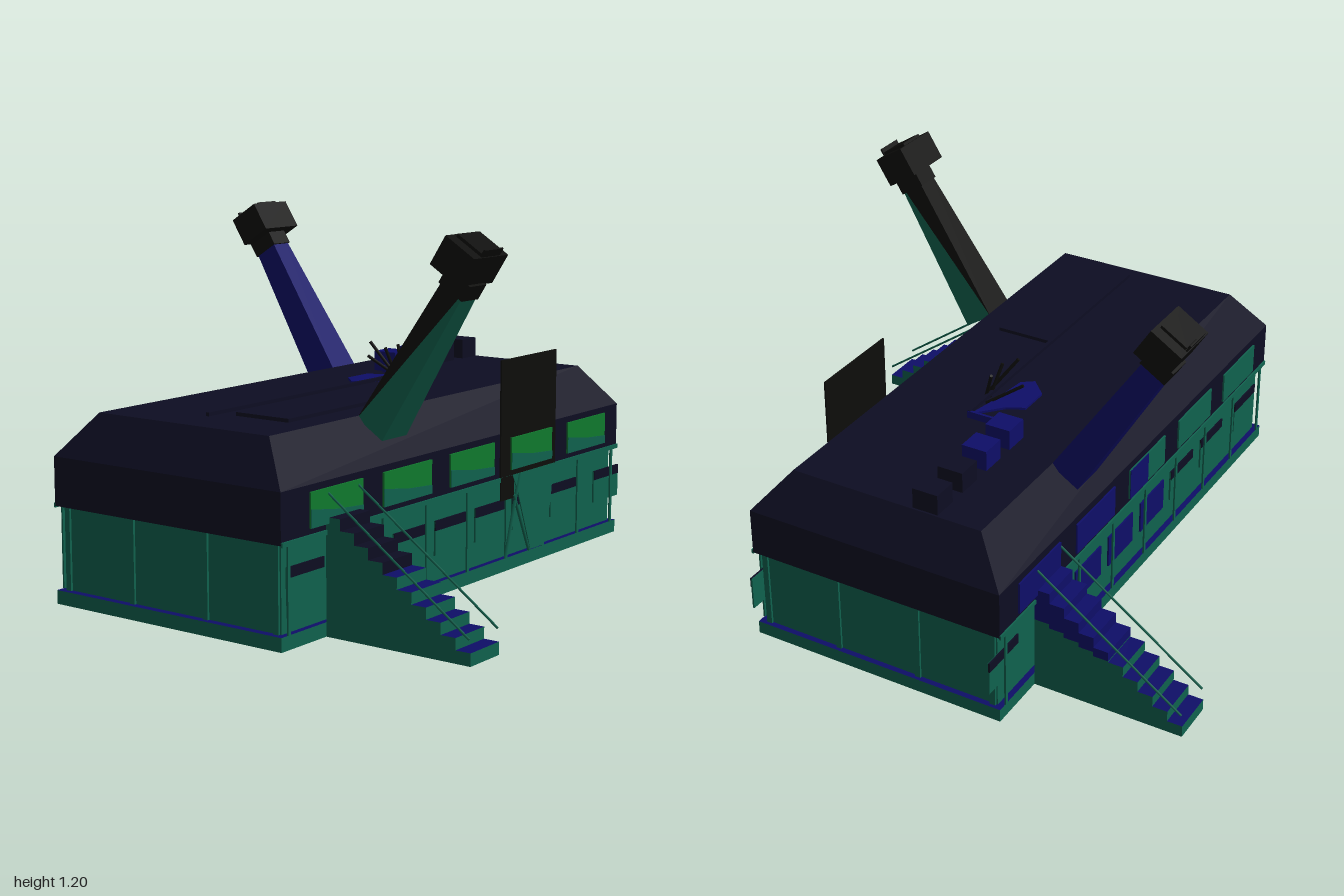
import * as THREE from 'three';

const mat = (name, color) => Object.assign(new THREE.MeshStandardMaterial({ color }), { name });

export function createModel() {
  const teal = mat('teal', 0x10624e), navy = mat('navy', 0x0d0d22), blue = mat('blue', 0x0e0e68);
  const green = mat('green', 0x107a2e), black = mat('black', 0x0d0d0b);
  const model = new THREE.Group();

  const add = (name, geo, material, x, y, z, parent = model) => {
    const m = new THREE.Mesh(geo, material);
    m.name = name;
    m.position.set(x, y, z);
    parent.add(m);
    return m;
  };
  // Box given by its low and high corners
  const box = (name, material, x0, x1, y0, y1, z0, z1, parent) =>
    add(name, new THREE.BoxGeometry(x1 - x0, y1 - y0, z1 - z0), material,
      (x0 + x1) / 2, (y0 + y1) / 2, (z0 + z1) / 2, parent);
  // Tapered box standing on its base
  const frustum = (w0, d0, w1, d1, h) => {
    const g = new THREE.BoxGeometry(1, h, 1).translate(0, h / 2, 0);
    const p = g.attributes.position;
    for (let i = 0; i < p.count; i++) {
      const top = p.getY(i) > h / 2;
      p.setX(i, p.getX(i) * (top ? w1 : w0));
      p.setZ(i, p.getZ(i) * (top ? d1 : d0));
    }
    g.computeVertexNormals();
    return g;
  };
  // Thin rod between two points
  const rod = (name, material, a, b, r, parent) => {
    const p = new THREE.Vector3(...a), d = new THREE.Vector3(...b).sub(p);
    const m = add(name, new THREE.CylinderGeometry(r, r, d.length(), 5), material, 0, 0, 0, parent);
    m.position.copy(p).addScaledVector(d, 0.5);
    m.quaternion.setFromUnitVectors(new THREE.Vector3(0, 1, 0), d.normalize());
    return m;
  };
  // Thin flat outline extruded toward +z
  const plate = (name, material, pts, z, depth = 0.004) => {
    const s = new THREE.Shape(pts.map(([x, y]) => new THREE.Vector2(x, y)));
    return add(name, new THREE.ExtrudeGeometry(s, { depth, bevelEnabled: false }), material, 0, 0, z);
  };

  // Base slab and lower storey
  box('base', [teal, teal, blue, blue, teal, teal], -1, 0.96, 0, 0.045, -0.46, 0.46);
  box('lowerWalls', teal, -0.975, 0.94, 0.045, 0.325, -0.44, 0.44);
  for (const z of [-0.425, -0.15, 0.15, 0.425])
    for (const x of [-0.977, 0.942])
      box('endPillar', teal, x - 0.006, x + 0.006, 0.045, 0.32, z - 0.01, z + 0.01);

  // Upper storey and hipped roof
  box('upperStorey', navy, -1, 0.96, 0.32, 0.48, -0.46, 0.46);
  add('roof', frustum(1.96, 0.92, 1.78, 0.69, 0.14), navy, -0.02, 0.48, 0);

  // Long-side trim, posts and windows
  for (const s of [1, -1]) {
    box('eaveTrim', teal, -1, 0.96, 0.315, 0.33, s * 0.462 - 0.004, s * 0.462 + 0.004);
    for (let i = 0; i < 9; i++) {
      const x = -0.965 + i * 0.236;
      box('post', teal, x - 0.006, x + 0.006, 0.045, 0.32, s * 0.46 - 0.003, s * 0.46 + 0.003);
    }
    for (const x of [-0.87, -0.58, -0.335, -0.105, 0.13, 0.36, 0.61, 0.91]) {
      const painted = s < 0 && x > -0.2 && x < 0.7;
      box('lowerWindow', painted ? blue : teal, x - 0.085, x + 0.09, 0.13, 0.245, s * 0.444 - 0.003, s * 0.444 + 0.003);
      if (!painted)
        box('windowShade', navy, x - 0.085, x + 0.09, 0.213, 0.246, s * 0.446 - 0.003, s * 0.446 + 0.003);
    }
    for (let i = 0; i < 5; i++) {
      const x = -0.742 + i * 0.367, w = 0.13;
      box('upperWindow', s > 0 ? green : i > 2 ? blue : teal, x - w, x + w, 0.35, 0.46, s * 0.468 - 0.003, s * 0.468 + 0.003);
      if (s > 0)
        plate('windowLowerPane', teal, [[x - w, 0.35], [x + w, 0.35], [x + w, 0.378], [x, 0.388], [x - w, 0.408]], 0.4705, 0.002);
      else if (i === 2)
        box('windowPatch', blue, x, x + w, 0.35, 0.46, -0.473, -0.469);
    }
  }

  // Sign board over the entrance
  box('signBoard', black, 0.17, 0.52, 0.33, 0.73, 0.459, 0.465);
  box('signBoardTail', black, 0.17, 0.25, 0.25, 0.33, 0.462, 0.467);

  // Entrance flap and leaning poles
  plate('entranceFlap', teal, [[0.24, 0.33], [0.27, 0.28], [0.36, 0.05], [0.44, 0.05], [0.49, 0.2], [0.505, 0.33]], 0.464);
  rod('entrancePole', teal, [0.2, 0.05, 0.468], [0.285, 0.33, 0.468], 0.006);
  rod('entrancePole', teal, [0.35, 0.05, 0.468], [0.25, 0.26, 0.468], 0.006);

  // Stairs, built toward +z and turned round for the back
  const stairs = (name, cx, back) => {
    const g = new THREE.Group();
    g.name = name;
    for (let i = 0; i < 10; i++) {
      const z1 = 0.98 - 0.052 * i, z0 = z1 - 0.052, top = 0.04 + 0.0365 * i;
      const split = i < 5 ? top : 0.19 + (i - 5) * 0.016;
      const tread = back || i < 6 ? blue : navy;
      box('step', [teal, teal, tread, blue, teal, teal], -0.075, 0.075, 0, split, z0, z1, g);
      if (i >= 5) {
        const side = back ? blue : teal, riser = back ? blue : i > 5 ? navy : teal;
        box('upperStep', [side, side, tread, teal, riser, teal], -0.075, 0.075, split, top, z0, z1, g);
      }
    }
    for (const x of [-0.075, 0.075])
      rod('handrail', teal, [x, 0.08, 0.975], [x, 0.45, 0.46], 0.004, g);
    g.position.x = cx;
    if (back) g.rotation.y = Math.PI;
    model.add(g);
  };
  stairs('frontStairs', -0.71, false);
  stairs('backStairs', 0.67, true);

  // Leaning towers with square heads
  const tower = (name, cx, back) => {
    const g = new THREE.Group(), lean = new THREE.Group();
    g.name = name;
    const geo = frustum(0.13, 0.115, 0.078, 0.085, 0.58);
    if (!back) {
      // Side faces split on the diagonal, dark on the inner upper half
      geo.index.array.set([0, 2, 3, 0, 3, 1]);
      geo.clearGroups();
      [0, 1, 1, 0, 1, 1, 0, 0, 0, 0, 1, 1].forEach((m, i) => geo.addGroup(i * 3, 3, m));
    }
    add('towerShaft', geo, back ? blue : [teal, black], 0, 0, 0, lean);
    box('towerNeck', black, -0.045, 0.045, 0.53, 0.585, -0.05, 0.05, lean);
    box('towerHead', black, -0.0925, 0.0925, 0.58, 0.685, -0.081, 0.041, lean);
    box('headCap', black, -0.05, 0.05, 0.6, 0.695, -0.07, 0.03, lean);
    box('headFlap', black, -0.05, 0.05, 0.67, 0.71, 0.032, 0.038, lean);
    lean.rotation.x = 0.567;
    lean.position.set(0, 0.58, 0.387);
    g.add(lean);
    g.position.x = cx;
    if (back) g.rotation.y = Math.PI;
    model.add(g);
  };
  tower('frontTower', -0.403, false);
  tower('backTower', 0.363, true);

  // Roof vents
  for (let i = 0; i < 4; i++) {
    const x = 0.34 + i * 0.145;
    box('roofVent', i < 2 ? blue : navy, x, x + 0.088, 0.61, 0.69, -0.187, -0.097);
  }

  // Roof panel, pipe and fallen sheet
  box('roofPanel', navy, -0.7, -0.25, 0.615, 0.632, 0.04, 0.25);
  box('roofPipe', navy, -0.825, 0.32, 0.635, 0.647, 0.025, 0.037);
  box('roofPipeBend', blue, 0.312, 0.322, 0.62, 0.645, -0.13, 0.037);
  const sheet = plate('roofSheet', blue, [[0.02, 0.05], [0.08, 0.11], [0.19, 0.11], [0.22, 0.05], [0.31, -0.03], [0.21, -0.01], [0.05, 0.01]], 0, 0.008);
  sheet.rotation.x = -Math.PI / 2;
  sheet.position.y = 0.624;

  // Antenna sticks
  for (const [a, b] of [
    [[0.16, 0.62, 0.06], [0.115, 0.76, -0.04]],
    [[0.17, 0.62, 0.04], [0.135, 0.74, 0.01]],
    [[0.18, 0.62, 0.05], [0.225, 0.74, 0.0]],
    [[0.21, 0.62, 0.03], [0.17, 0.7, -0.09]],
  ]) rod('antenna', black, a, b, 0.006);

  return model;
}
